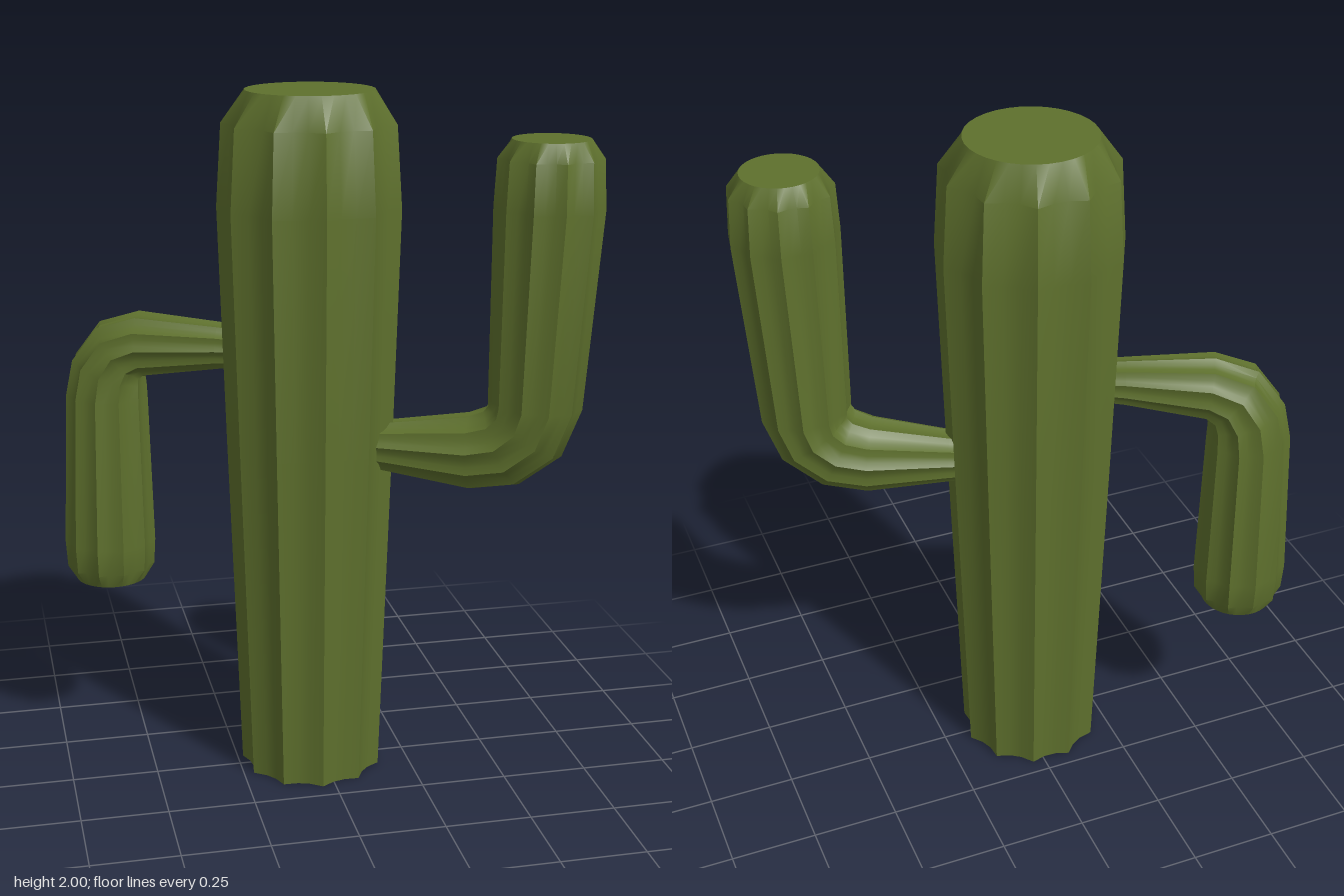
import * as THREE from 'three';
import { toCreasedNormals } from 'three/addons/utils/BufferGeometryUtils.js';

const RIBS = 11, STEPS = 3, SIDES = RIBS * STEPS;
const CX = -0.03, CZ = -0.01; // trunk axis

// Sweeps a ribbed section along a path in a vertical plane.
// rings: [distance outward, height, radius]; the last ring is the round rim of the flat cap.
function ribbedLimb(rings, heading, phase) {
  const dir = new THREE.Vector3(Math.cos(heading), 0, Math.sin(heading));
  const side = new THREE.Vector3(-dir.z, 0, dir.x);
  const place = ([s, y]) => new THREE.Vector3(CX, y, CZ).addScaledVector(dir, s);
  const last = rings.length - 1;
  const pos = [], index = [];
  rings.forEach((ring, i) => {
    const c = place(ring);
    const tangent = place(rings[Math.min(i + 1, last)]).sub(place(rings[Math.max(i - 1, 0)])).normalize();
    const u = new THREE.Vector3().crossVectors(side, tangent);
    for (let j = 0; j < SIDES; j++) {
      const a = phase + (j / SIDES) * Math.PI * 2;
      // sharp rib crests with shallow grooves between
      const r = ring[2] * (i === last || j % STEPS === 0 ? 1 : 0.905);
      const p = c.clone().addScaledVector(u, r * Math.cos(a)).addScaledVector(side, r * Math.sin(a));
      pos.push(p.x, p.y, p.z);
    }
  });
  for (let i = 0; i < last; i++) {
    for (let j = 0; j < SIDES; j++) {
      const k = (j + 1) % SIDES, a = i * SIDES, b = a + SIDES;
      index.push(a + j, a + k, b + k, a + j, b + k, b + j);
    }
  }
  // flat end cap
  const tip = place(rings[last]);
  pos.push(tip.x, tip.y, tip.z);
  for (let j = 0; j < SIDES; j++) {
    index.push((last + 1) * SIDES, last * SIDES + j, last * SIDES + (j + 1) % SIDES);
  }
  const g = new THREE.BufferGeometry();
  g.setAttribute('position', new THREE.Float32BufferAttribute(pos, 3));
  g.setIndex(index);
  return toCreasedNormals(g, 0.6);
}

export function createModel() {
  const group = new THREE.Group();
  const green = new THREE.MeshStandardMaterial({ color: 0x5e702d, side: THREE.DoubleSide });
  green.name = 'cactus green';
  const rad = THREE.MathUtils.degToRad;
  const add = (name, rings, heading, phase) => {
    const mesh = new THREE.Mesh(ribbedLimb(rings, rad(heading), rad(phase)), green);
    mesh.name = name;
    group.add(mesh);
  };

  // trunk, open underneath
  add('trunk', [
    [0, 0, 0.207], [0, 1.0, 0.24], [0, 1.68, 0.26], [0, 1.91, 0.245], [0, 2, 0.18],
  ], 0, 88);

  // arm that bends upward
  add('leftArm', [
    [0.14, 1.0, 0.065], [0.23, 1.0, 0.076], [0.46, 1.0, 0.11], [0.55, 1.02, 0.12],
    [0.615, 1.075, 0.127], [0.64, 1.15, 0.132], [0.66, 1.7, 0.152],
    [0.66, 1.835, 0.145], [0.66, 1.885, 0.107],
  ], 24.6, 112.6);

  // arm that droops downward
  add('rightArm', [
    [0.13, 1.265, 0.055], [0.266, 1.267, 0.068], [0.5, 1.26, 0.095], [0.566, 1.235, 0.105],
    [0.604, 1.175, 0.114], [0.615, 1.1, 0.12], [0.62, 0.65, 0.135],
    [0.62, 0.572, 0.13], [0.62, 0.53, 0.104],
  ], 205.5, 70.5);

  return group;
}
